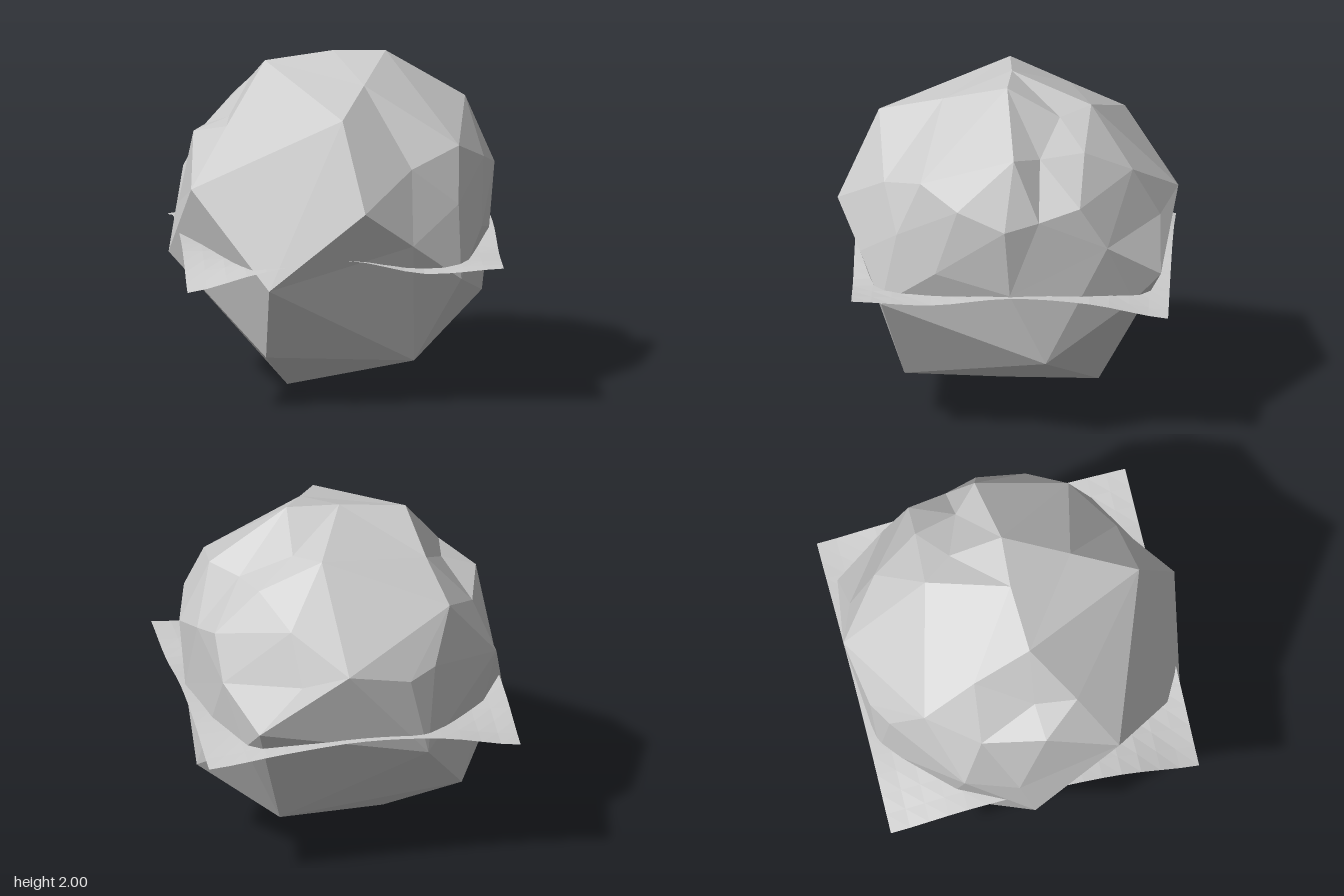
import * as THREE from 'three';
import { ConvexGeometry } from 'three/addons/geometries/ConvexGeometry.js';

const CENTER = new THREE.Vector3(0, 0.95, 0);

// Corners of the faceted rock, from the underside upward
const CORNERS = [
  [-0.27, 0, 0.03], [-0.43, 0.3, 0.6], [0.44, 0.27, 0.6], [0.45, 0.25, -0.54],
  [0.89, 0.49, -0.24], [-0.63, 0.4, -0.57],
  // waist
  [-0.43, 0.77, 0.9], [0.71, 0.79, 0.73], [0.92, 0.92, -0.03], [0.7, 0.82, -0.75],
  [-0.37, 0.77, -0.9], [-0.96, 0.78, -0.1], [0.64, 0.97, -0.91],
  // shoulders
  [0.13, 1.25, 1], [0.42, 1.02, 0.86], [0.42, 1.45, 0.72], [-0.86, 1.28, 0.43],
  [0.95, 1.32, 0], [0.87, 1.42, 0.28], [0.71, 1.54, 0.5], [0.7, 1.22, 0.64],
  [0.85, 1.03, 0.41], [0.12, 1.34, -1], [0.38, 1.25, -0.9], [0.8, 1.18, -0.6],
  [-0.26, 1.25, -0.93], [-0.42, 1.3, -0.85], [-0.85, 1.2, -0.5], [-0.9, 1.05, -0.18],
  [0.88, 1.36, -0.2],
  // crown
  [0.01, 1.76, 0.76], [0.16, 1.88, 0.38], [0.31, 2, 0], [0, 2, -0.02], [-0.4, 1.95, 0],
  [-0.64, 1.61, 0.23], [-0.82, 1.53, 0], [-0.61, 1.61, -0.02], [-0.73, 1.48, -0.37],
  [-0.46, 1.77, -0.35], [-0.54, 1.6, -0.67], [0.78, 1.71, -0.05], [0.63, 1.67, -0.2],
  [0.82, 1.43, -0.44], [0.42, 1.54, -0.74], [0.19, 1.86, -0.49], [0.33, 1.83, -0.31],
  [0.56, 1.69, -0.46],
].map((p) => new THREE.Vector3(...p));

// Water heights on a coarse grid: rows run back to front, columns from -x to +x
const HEIGHTS = [
  [0.8, 0.88, 0.9, 0.86, 0.8],
  [0.9, 0.9, 0.9, 0.9, 0.885],
  [0.94, 0.9, 0.9, 0.9, 0.915],
  [0.91, 0.9, 0.9, 0.9, 0.87],
  [0.77, 0.89, 0.95, 0.865, 0.89],
];

// Joins the corners by hulling their directions, then moves each to its true place
function rockGeometry() {
  const dirs = CORNERS.map((p) => p.clone().sub(CENTER).normalize());
  const geo = new ConvexGeometry(dirs);
  const pos = geo.attributes.position;
  const v = new THREE.Vector3();
  for (let i = 0; i < pos.count; i++) {
    v.fromBufferAttribute(pos, i);
    let best = 0;
    dirs.forEach((d, k) => {
      if (d.distanceToSquared(v) < dirs[best].distanceToSquared(v)) best = k;
    });
    pos.setXYZ(i, CORNERS[best].x, CORNERS[best].y, CORNERS[best].z);
  }
  geo.computeVertexNormals();
  return geo;
}

// Smooth value at t (0 to 1) along a list of evenly spaced heights
function smooth(list, t) {
  const curve = new THREE.SplineCurve(list.map((h, i) => new THREE.Vector2(i, h)));
  return curve.getPoint(THREE.MathUtils.clamp(t, 0, 1)).y;
}

// Square sheet of water with gentle waves and drooping corners
function waterGeometry() {
  const size = 1.86;
  const geo = new THREE.PlaneGeometry(size, size, 16, 16);
  geo.rotateX(-Math.PI / 2);
  const pos = geo.attributes.position;
  for (let i = 0; i < pos.count; i++) {
    const u = pos.getX(i) / size + 0.5, w = pos.getZ(i) / size + 0.5;
    pos.setY(i, smooth(HEIGHTS.map((row) => smooth(row, u)), w));
  }
  geo.translate(0.02, 0, -0.03);
  geo.computeVertexNormals();
  return geo;
}

export function createModel() {
  const group = new THREE.Group();
  group.name = 'rockyPlanet';

  const rock = new THREE.Mesh(
    rockGeometry(),
    new THREE.MeshStandardMaterial({ color: 0xcccccc, flatShading: true })
  );
  rock.name = 'rock';

  const water = new THREE.Mesh(
    waterGeometry(),
    new THREE.MeshStandardMaterial({ color: 0xcccccc, flatShading: true, side: THREE.DoubleSide })
  );
  water.name = 'waterSheet';

  group.add(rock, water);
  return group;
}
